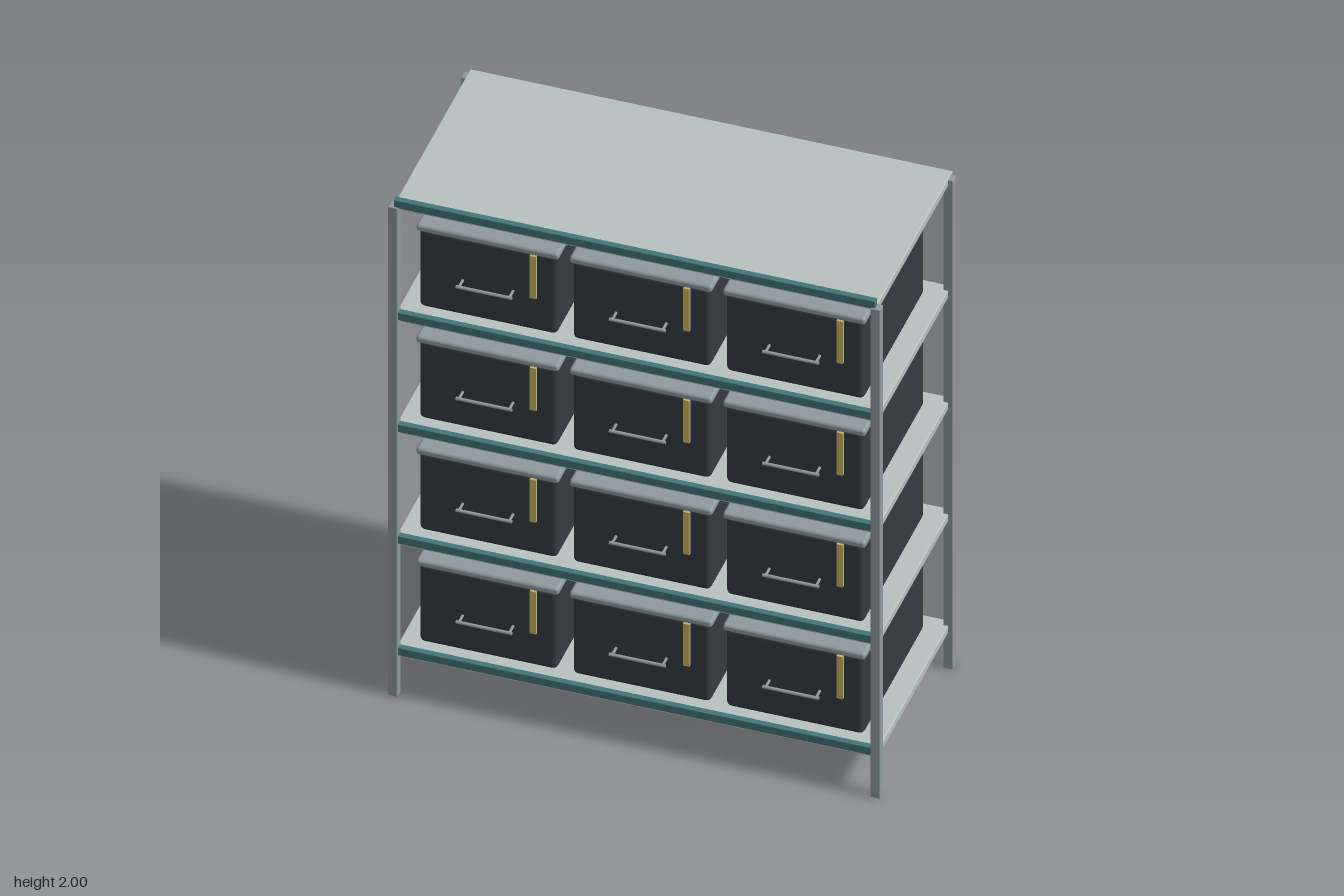
import * as THREE from 'three';
import { RoundedBoxGeometry } from 'three/addons/geometries/RoundedBoxGeometry.js';

const material = (name, color) => {
  const m = new THREE.MeshStandardMaterial({ color });
  m.name = name;
  return m;
};

export function createModel() {
  const steel = material('steel grey', 0x8f9aa0);
  const board = material('pale grey', 0xb8c0c0);
  const teal = material('teal', 0x427679);
  const dark = material('charcoal', 0x353b42);
  const gold = material('gold', 0xc9b265);

  const model = new THREE.Group();
  model.name = 'storageRack';

  // Softened block given by its lower and upper corners
  const block = (parent, name, mat, [x0, y0, z0], [x1, y1, z1], radius) => {
    const mesh = new THREE.Mesh(new RoundedBoxGeometry(x1 - x0, y1 - y0, z1 - z0, 2, radius), mat);
    mesh.position.set((x0 + x1) / 2, (y0 + y1) / 2, (z0 + z1) / 2);
    mesh.name = name;
    parent.add(mesh);
    return mesh;
  };

  // Four corner posts
  for (const x of [-0.815, 0.815]) {
    for (const z of [-0.35, 0.364]) {
      block(model, z > 0 ? 'frontPost' : 'rearPost', steel,
        [x - 0.017, 0, z - 0.017], [x + 0.017, 1.973, z + 0.017], 0.004);
    }
  }

  // Back panel
  block(model, 'backPanel', board, [-0.815, 0.004, -0.381], [0.815, 1.975, -0.362], 0.003);

  // Bin: body, lid, pull handle and label strip; its origin is on the shelf
  const createBin = () => {
    const bin = new THREE.Group();
    bin.name = 'bin';
    block(bin, 'binBody', dark, [-0.233, 0.009, -0.29], [0.233, 0.325, 0.308], 0.018);
    block(bin, 'binLid', steel, [-0.241, 0.317, -0.299], [0.241, 0.345, 0.316], 0.011);

    const bar = new THREE.Mesh(new THREE.CylinderGeometry(0.006, 0.006, 0.19, 10), steel);
    bar.rotation.z = Math.PI / 2;
    bar.position.set(0, 0.153, 0.346);
    bar.name = 'handleBar';
    bin.add(bar);
    for (const x of [-0.085, 0.085]) {
      const leg = new THREE.Mesh(new THREE.CylinderGeometry(0.005, 0.005, 0.042, 8), steel);
      leg.rotation.x = Math.PI / 2;
      leg.position.set(x, 0.153, 0.325);
      leg.name = 'handleLeg';
      bin.add(leg);
    }

    const strip = new THREE.Mesh(new THREE.BoxGeometry(0.022, 0.17, 0.009), gold);
    strip.position.set(0.155, 0.231, 0.3125);
    strip.name = 'labelStrip';
    bin.add(strip);
    return bin;
  };

  // Five shelves with teal front rails; the lower four carry three bins each
  const protoBin = createBin();
  for (let i = 0; i < 5; i++) {
    const top = 0.173 + i * 0.451;
    block(model, 'shelf', board, [-0.815, top - 0.03, -0.363], [0.815, top, 0.354], 0.004);
    block(model, 'frontRail', teal, [-0.813, top - 0.008, 0.354], [0.813, top + 0.023, 0.376], 0.003);
    if (i === 4) continue;
    for (const x of [-0.518, 0, 0.518]) {
      const bin = protoBin.clone();
      bin.position.set(x, top, 0);
      model.add(bin);
    }
  }

  return model;
}
